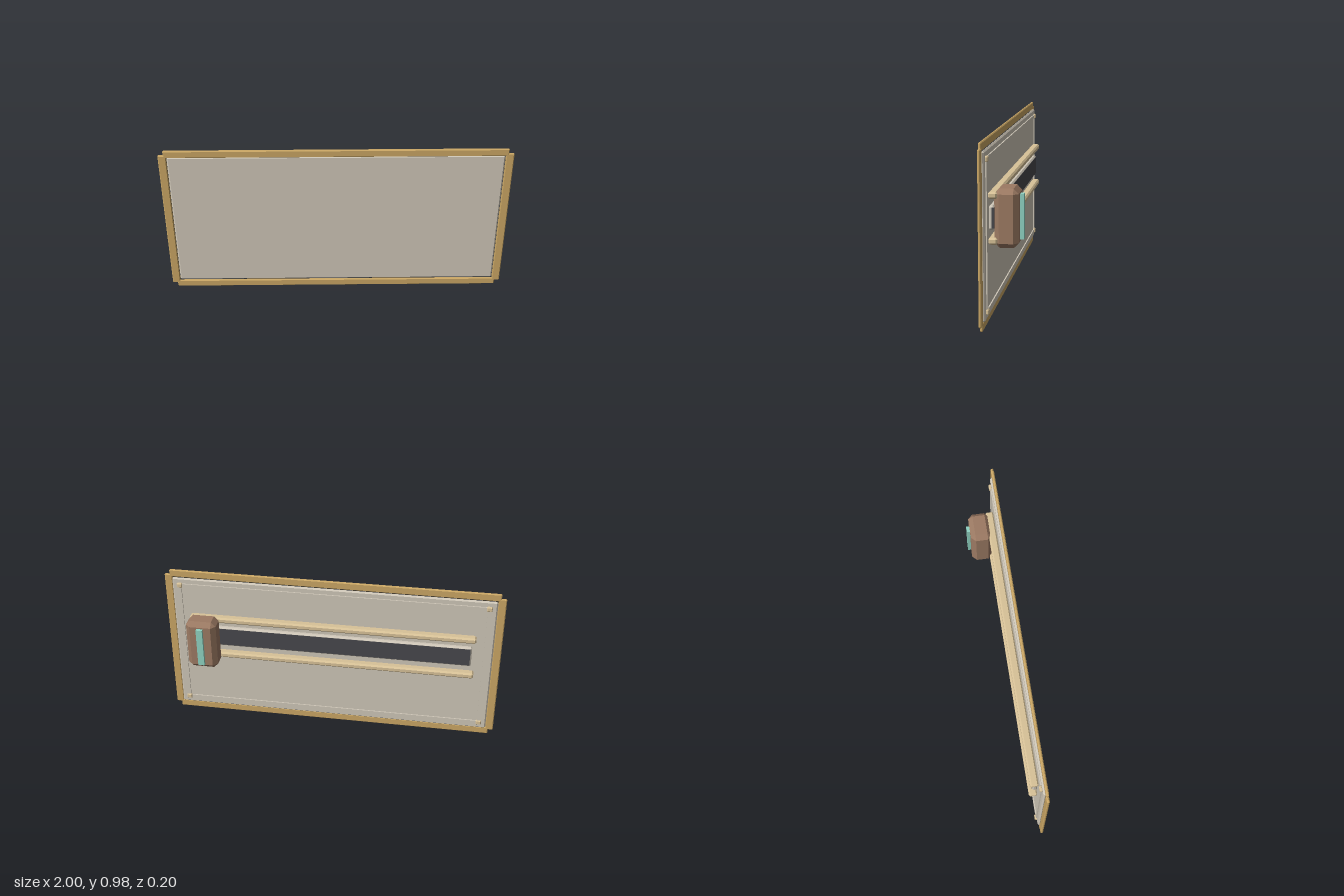
import * as THREE from 'three';
import { ConvexGeometry } from 'three/addons/geometries/ConvexGeometry.js';

const mat = (name, color) => {
  const m = new THREE.MeshStandardMaterial({ color });
  m.name = name;
  return m;
};

// Box with every edge and corner cut by c, given by its limits on each axis
function chamferBox([x0, x1], [y0, y1], [z0, z1], c) {
  const half = [(x1 - x0) / 2, (y1 - y0) / 2, (z1 - z0) / 2];
  const points = [];
  for (const sx of [-1, 1]) for (const sy of [-1, 1]) for (const sz of [-1, 1]) {
    for (let axis = 0; axis < 3; axis++) {
      const p = half.map((h, i) => (i === axis ? h : h - c));
      points.push(new THREE.Vector3(p[0] * sx, p[1] * sy, p[2] * sz));
    }
  }
  const g = new ConvexGeometry(points);
  g.translate((x0 + x1) / 2, (y0 + y1) / 2, (z0 + z1) / 2);
  return g;
}

function plainBox([x0, x1], [y0, y1], [z0, z1]) {
  const g = new THREE.BoxGeometry(x1 - x0, y1 - y0, z1 - z0);
  g.translate((x0 + x1) / 2, (y0 + y1) / 2, (z0 + z1) / 2);
  return g;
}

export function createModel() {
  const model = new THREE.Group();
  model.name = 'slidingPanel';

  const gold = mat('frame gold', 0xcaa664);
  const stone = mat('panel stone', 0xcfc7b8);
  const sand = mat('rail sand', 0xd8c298);
  const dark = mat('belt charcoal', 0x48484c);
  const brown = mat('carriage brown', 0x9c7a63);
  const teal = mat('indicator teal', 0x8fd3c2);

  const add = (name, geometry, material) => {
    const mesh = new THREE.Mesh(geometry, material);
    mesh.name = name;
    model.add(mesh);
  };

  // Outer frame: four bars with stepped corners
  const frameZ = [0.084, 0.1];
  add('frameTop', chamferBox([-0.97, 0.97], [0.93, 0.976], frameZ, 0.005), gold);
  add('frameBottom', chamferBox([-0.97, 0.97], [0, 0.046], frameZ, 0.005), gold);
  add('frameLeft', chamferBox([0.953, 1], [0.03, 0.946], frameZ, 0.005), gold);
  add('frameRight', chamferBox([-1, -0.953], [0.03, 0.946], frameZ, 0.005), gold);

  // Main panel
  add('panel', chamferBox([-0.953, 0.953], [0.046, 0.93], [0.074, 0.092], 0.008), stone);

  // Thin strips and corner studs on the back
  const stripZ = [0.067, 0.076];
  for (const y of [0.092, 0.886]) {
    add('backStrip', plainBox([-0.9, 0.9], [y - 0.01, y + 0.01], stripZ), stone);
    for (const x of [-0.908, 0.908]) {
      add('cornerStud', chamferBox([x - 0.016, x + 0.016], [y - 0.015, y + 0.015], [0.06, 0.078], 0.005), sand);
    }
  }
  for (const x of [-0.908, 0.908]) {
    add('backStrip', plainBox([x - 0.01, x + 0.01], [0.1, 0.878], stripZ), stone);
  }

  // Slide rails
  for (const y of [0.447, 0.687]) {
    add('rail', chamferBox([-0.85, 0.85], [y - 0.018, y + 0.018], [0.027, 0.076], 0.009), sand);
  }

  // Belt track with the dark belt set in it
  add('beltTrack', chamferBox([-0.83, 0.83], [0.503, 0.63], [0.047, 0.076], 0.008), stone);
  add('belt', plainBox([-0.822, 0.832], [0.512, 0.621], [0.0455, 0.06]), dark);

  // Carriage and its indicator bar
  add('carriage', chamferBox([0.67, 0.85], [0.41, 0.721], [-0.081, 0.046], 0.027), brown);
  add('indicator', plainBox([0.742, 0.78], [0.446, 0.686], [-0.1, -0.078]), teal);

  return model;
}
